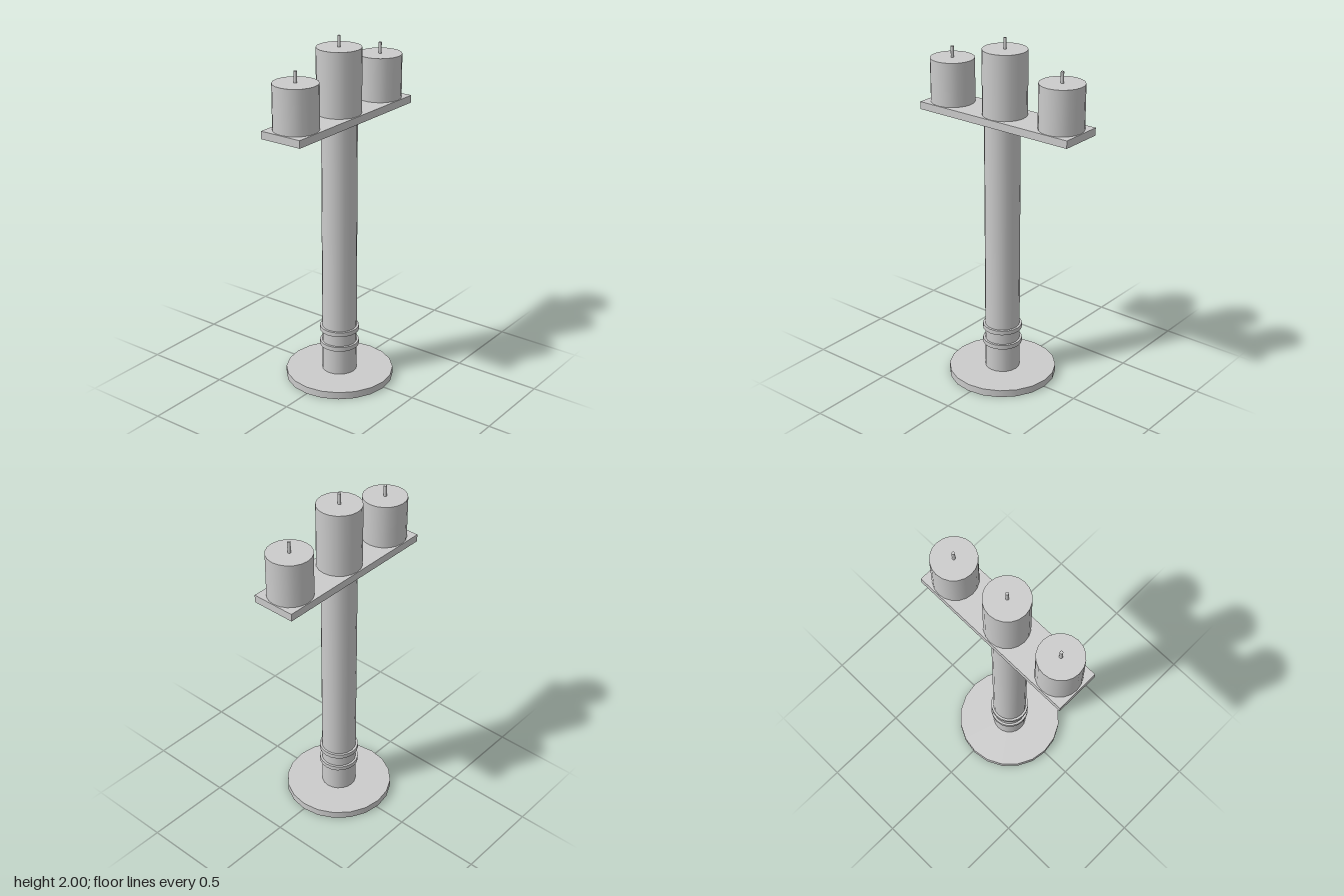
import * as THREE from 'three';

const material = new THREE.MeshStandardMaterial({ color: 0xcccccc });
const SIDES = 20;

// Upright cylinder standing between two heights
function upright(name, radius, bottom, top, x, z, sides = SIDES) {
  const mesh = new THREE.Mesh(new THREE.CylinderGeometry(radius, radius, top - bottom, sides), material);
  mesh.name = name;
  mesh.position.set(x, (bottom + top) / 2, z);
  return mesh;
}

export function createModel() {
  const model = new THREE.Group();
  model.name = 'candleStand';
  const standX = -0.013;
  const trayZ = -0.01;
  const trayTop = 1.577;

  // Round foot and column
  model.add(upright('base', 0.308, 0, 0.042, standX, 0));
  model.add(upright('column', 0.099, 0.042, 1.536, standX, 0));

  // Two raised bands near the foot of the column
  for (const y of [0.208, 0.301]) {
    model.add(upright('columnRing', 0.112, y - 0.013, y + 0.013, standX, 0));
  }

  // Flat tray
  const tray = new THREE.Mesh(new THREE.BoxGeometry(1, 0.043, 0.255), material);
  tray.name = 'tray';
  tray.position.set(0, trayTop - 0.0215, trayZ);
  model.add(tray);

  // Three candles with wicks, the middle one taller
  for (const [name, x, top] of [
    ['rightCandle', -0.37, 1.826],
    ['middleCandle', -0.003, 1.938],
    ['leftCandle', 0.372, 1.826],
  ]) {
    const candle = new THREE.Group();
    candle.name = name;
    candle.add(upright('wax', 0.1235, trayTop, top, x, trayZ));
    candle.add(upright('wick', 0.009, top, top + 0.062, x, trayZ, 12));
    model.add(candle);
  }
  return model;
}
